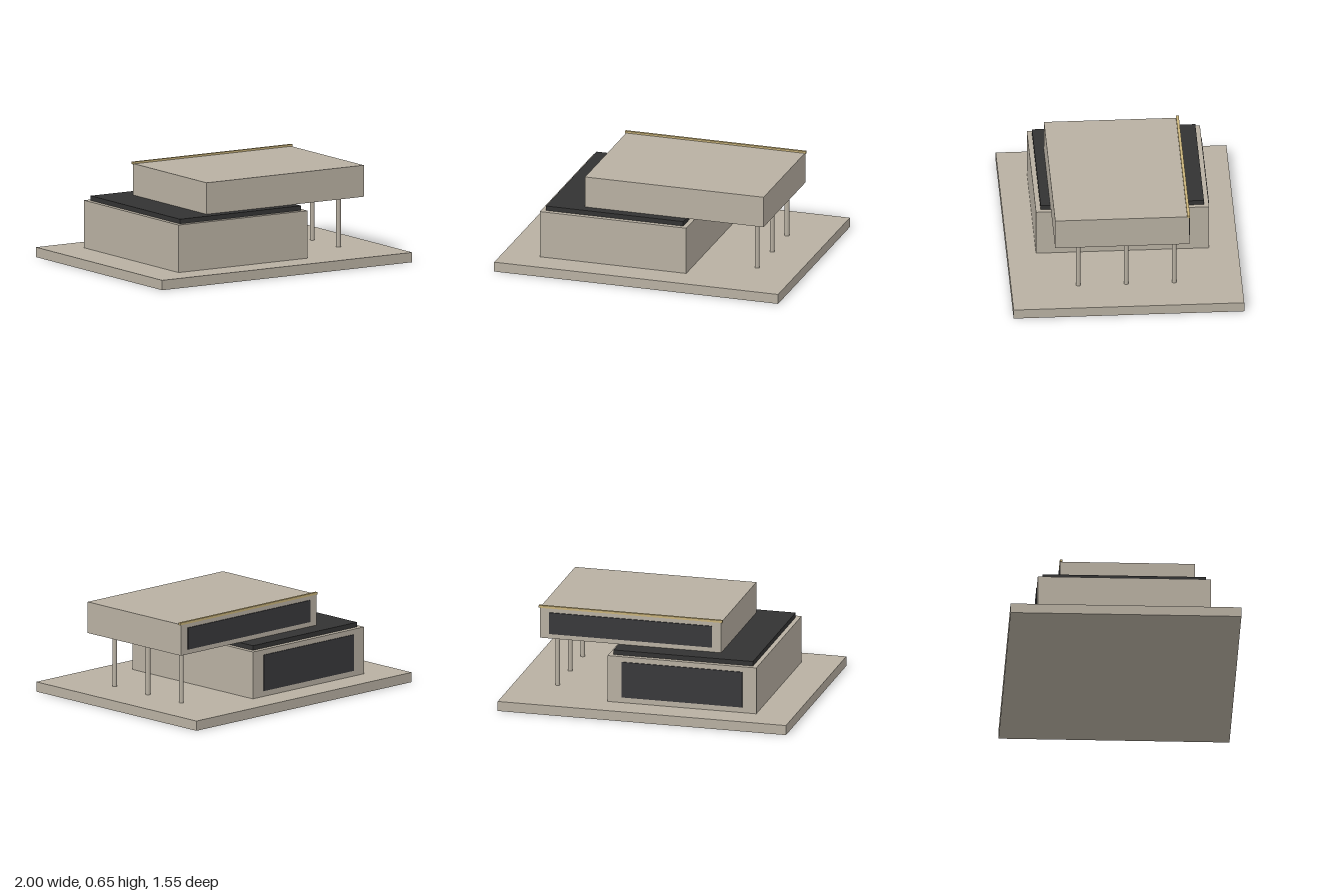
import * as THREE from 'three';

const paint = (color) => new THREE.MeshStandardMaterial({ color });

export function createModel() {
  const house = new THREE.Group();
  house.name = 'house';
  const concrete = paint(0xb8b0a2);
  const roofing = paint(0x333333);
  const glass = paint(0x38383b);
  const brass = paint(0xc8b27a);

  // Box given by its extents along each axis
  function block(name, material, [x0, x1], [y0, y1], [z0, z1]) {
    const mesh = new THREE.Mesh(new THREE.BoxGeometry(x1 - x0, y1 - y0, z1 - z0), material);
    mesh.position.set((x0 + x1) / 2, (y0 + y1) / 2, (z0 + z1) / 2);
    mesh.name = name;
    house.add(mesh);
  }

  const ground = 0.067, deck = 0.422;

  block('baseSlab', concrete, [-1, 1], [0, ground], [-0.774, 0.774]);

  // Ground floor with its flat roof and rear window
  block('lowerStorey', concrete, [-0.742, 0.29], [ground, 0.39], [-0.581, 0.581]);
  block('lowerRoof', roofing, [-0.71, 0.258], [0.39, deck], [-0.548, 0.548]);
  block('lowerWindow', glass, [-0.645, 0.193], [0.105, 0.354], [-0.587, -0.577]);

  // Cantilevered upper floor with rear window and roof edge trim
  block('upperStorey', concrete, [-0.455, 0.803], [deck, 0.636], [-0.419, 0.483]);
  block('upperWindow', glass, [-0.392, 0.74], [0.455, 0.605], [-0.426, -0.415]);
  block('roofTrim', brass, [-0.463, 0.811], [0.633, 0.649], [-0.422, -0.403]);

  // Columns under the overhang
  const columnGeometry = new THREE.CylinderGeometry(0.016, 0.016, deck - ground, 16);
  for (const z of [-0.322, 0, 0.322]) {
    const column = new THREE.Mesh(columnGeometry, concrete);
    column.position.set(0.706, (ground + deck) / 2, z);
    column.name = 'column';
    house.add(column);
  }

  return house;
}
